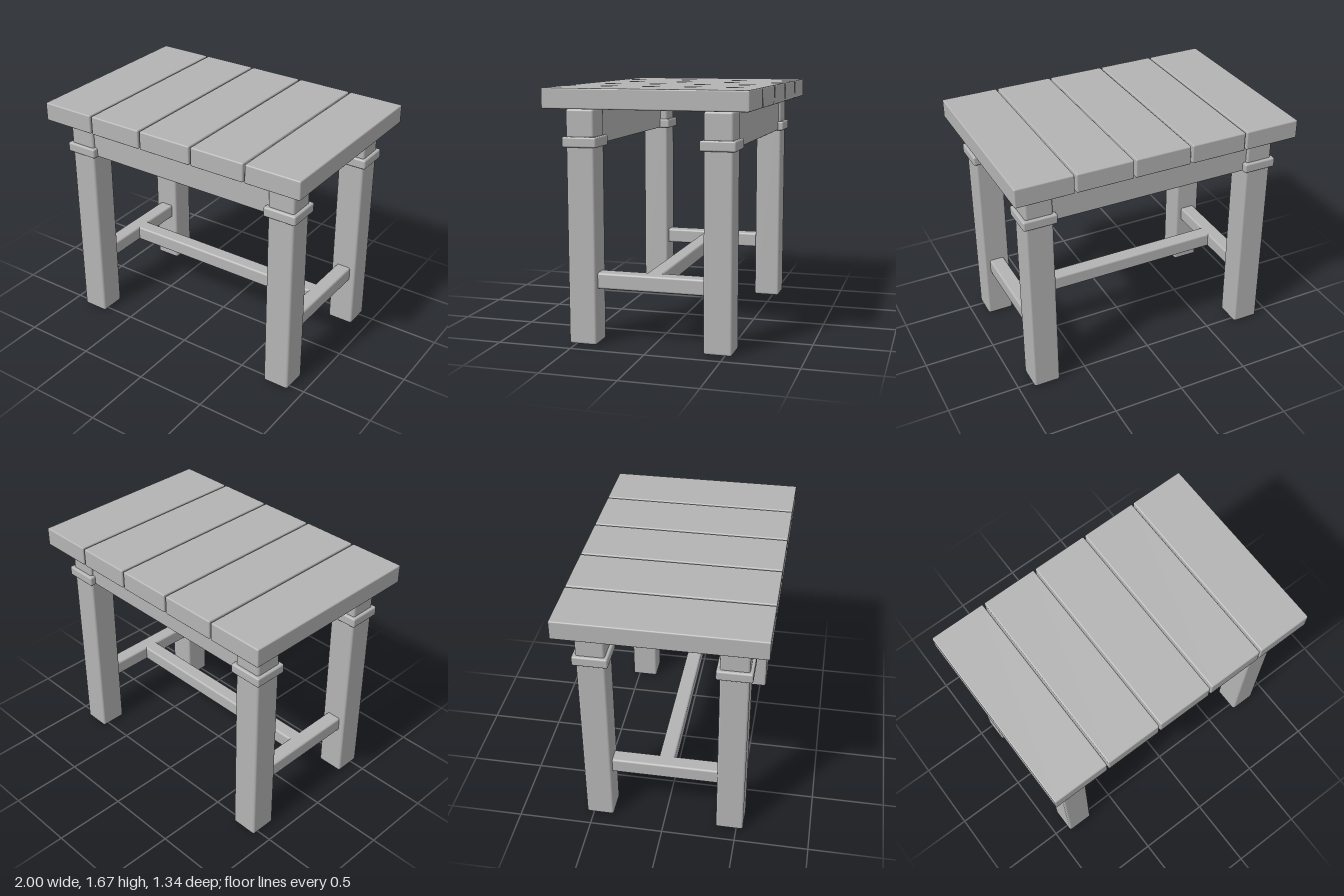
import * as THREE from 'three';
import { RoundedBoxGeometry } from 'three/addons/geometries/RoundedBoxGeometry.js';

export function createModel() {
  const table = new THREE.Group();
  table.name = 'table';
  const grey = new THREE.MeshStandardMaterial({ color: 0xb4b4b4 });
  grey.name = 'plainGrey';

  // Soft-edged beam given its size and centre
  function beam(name, [w, h, d], [x, y, z], radius = 0.014) {
    const mesh = new THREE.Mesh(new RoundedBoxGeometry(w, h, d, 2, radius), grey);
    mesh.name = name;
    mesh.position.set(x, y, z);
    table.add(mesh);
  }

  // Five table top planks with narrow gaps
  for (let i = -2; i <= 2; i++) {
    beam('topPlank', [0.39, 0.13, 1.335], [i * 0.4025, 1.61, 0], 0.009);
  }

  // Legs, each with a square collar
  const legX = 0.802, legZ = 0.453;
  for (const sx of [-1, 1]) {
    for (const sz of [-1, 1]) {
      beam('leg', [0.188, 1.54, 0.188], [sx * legX, 0.77, sz * legZ], 0.016);
      beam('legCollar', [0.232, 0.068, 0.232], [sx * legX, 1.329, sz * legZ], 0.012);
    }
    // Side stretcher running from front leg to back leg
    beam('sideStretcher', [0.106, 0.106, 0.8], [sx * legX, 0.423, 0]);
  }

  // Front and back aprons under the top
  for (const sz of [-1, 1]) {
    beam('apron', [1.5, 0.23, 0.118], [0, 1.41, sz * 0.47]);
  }

  // Long stretcher joining the two side stretchers
  beam('longStretcher', [1.57, 0.106, 0.106], [0, 0.423, 0]);

  return table;
}
